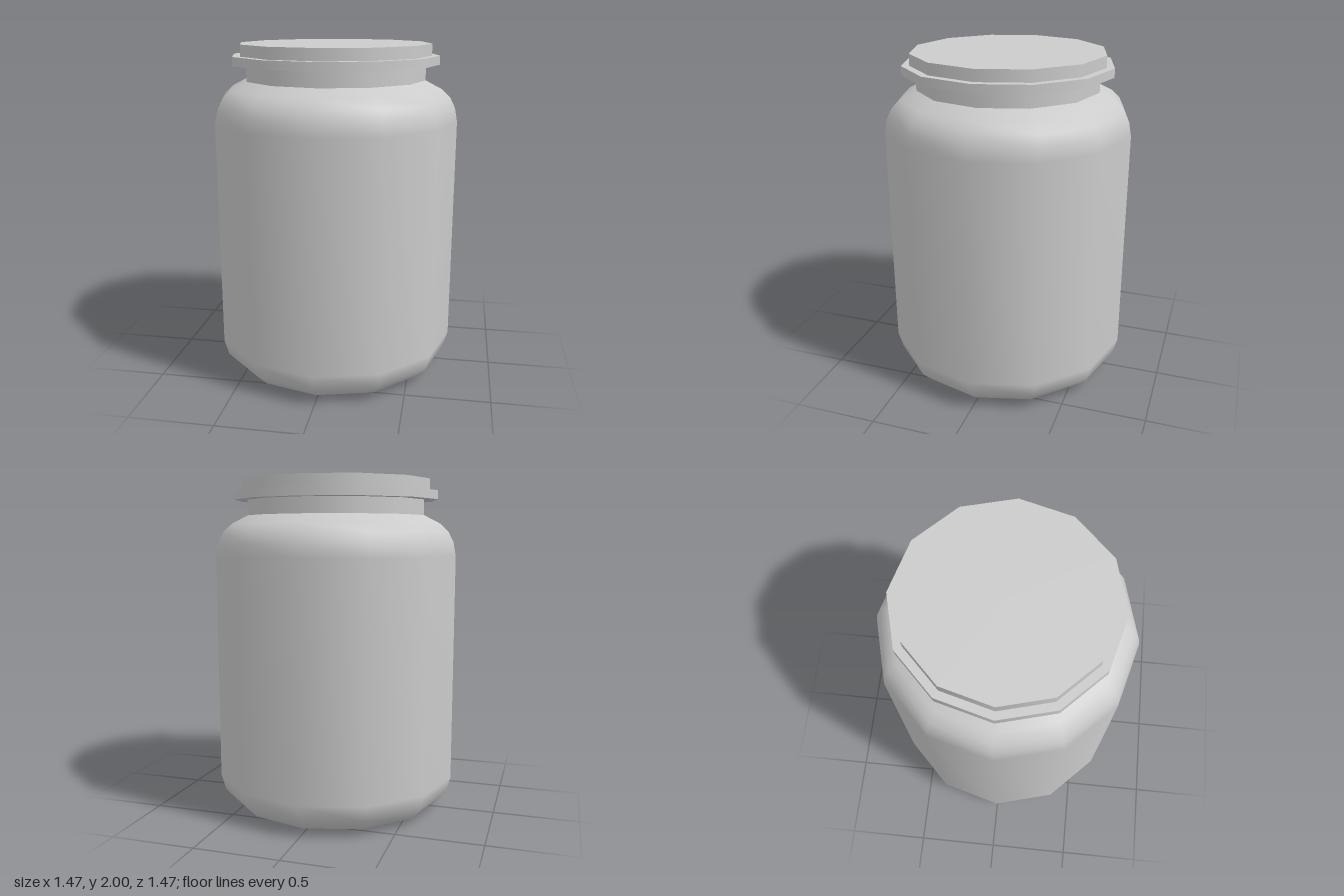
import * as THREE from 'three';

const SIDES = 12;

export function createModel() {
  const group = new THREE.Group();
  group.name = 'jar';
  const material = new THREE.MeshStandardMaterial({ color: 0xcccccc });

  const add = (name, geometry, y = 0) => {
    const mesh = new THREE.Mesh(geometry, material);
    mesh.name = name;
    mesh.position.y = y;
    group.add(mesh);
  };
  const lathe = (name, points) =>
    add(name, new THREE.LatheGeometry(points.map(([r, y]) => new THREE.Vector2(r, y)), SIDES));
  const disc = (name, radius, bottom, top) =>
    add(name, new THREE.CylinderGeometry(radius, radius, top - bottom, SIDES), (bottom + top) / 2);

  // Twelve-sided body with rounded foot and shoulder
  lathe('body', [
    [0.54, 0], [0.64, 0.03], [0.708, 0.1], [0.735, 0.195],
    [0.735, 1.55], [0.72, 1.63], [0.69, 1.69], [0.637, 1.74], [0.54, 1.79],
  ]);

  // Recessed base, split so its rim stays sharp
  lathe('baseRecessWall', [[0.54, 0.05], [0.54, 0]]);
  lathe('baseRecessFloor', [[0, 0.05], [0.54, 0.05]]);

  // Neck, collar and closed top
  disc('neck', 0.542, 1.785, 1.88);
  disc('collar', 0.622, 1.88, 1.932);
  disc('lid', 0.575, 1.932, 2);

  return group;
}
